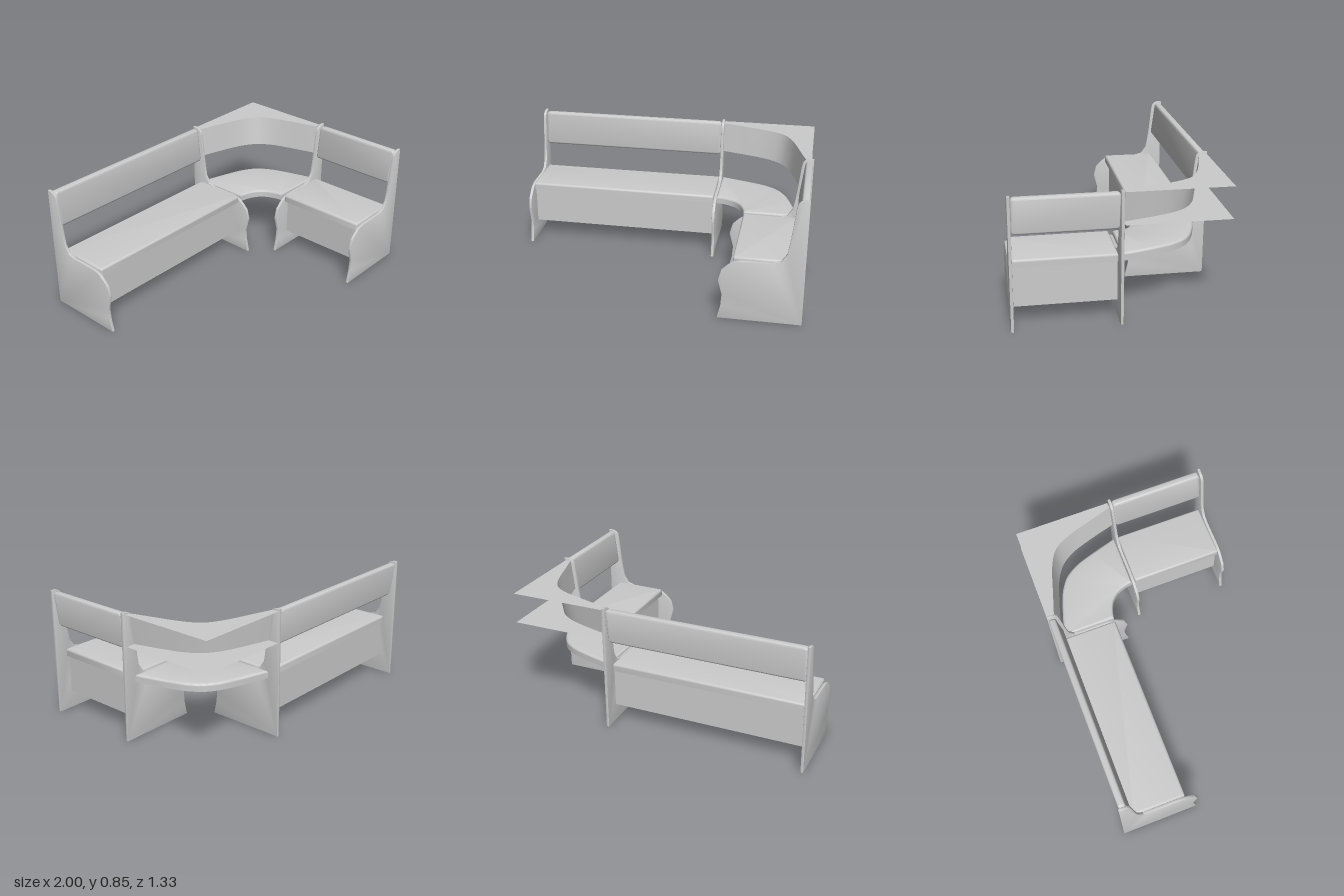
import * as THREE from 'three';
import { toCreasedNormals } from 'three/addons/utils/BufferGeometryUtils.js';

const BACK = -0.665; // z of the long bench's rear edge
const grey = new THREE.MeshStandardMaterial({ color: 0xcccccc });
const thin = new THREE.MeshStandardMaterial({ color: 0xcccccc, side: THREE.DoubleSide });

const V = ([x, y]) => new THREE.Vector2(x, y);

function add(parent, name, geometry, material = grey) {
  const mesh = new THREE.Mesh(geometry, material);
  mesh.name = name;
  parent.add(mesh);
  return mesh;
}

// Extrusion that keeps its outline and total thickness, with rounded rims
function slab(shape, thickness, round, segments = 3) {
  const g = new THREE.ExtrudeGeometry(shape, {
    depth: thickness - 2 * round, bevelEnabled: round > 0, bevelThickness: round,
    bevelSize: round, bevelOffset: -round, bevelSegments: segments, curveSegments: 6,
  });
  g.translate(0, 0, round);
  return toCreasedNormals(g, 0.6);
}

function roundedRect(x0, y0, x1, y1, r) {
  const s = new THREE.Shape();
  s.absarc(x1 - r, y0 + r, r, -Math.PI / 2, 0);
  s.absarc(x1 - r, y1 - r, r, 0, Math.PI / 2);
  s.absarc(x0 + r, y1 - r, r, Math.PI / 2, Math.PI);
  s.absarc(x0 + r, y0 + r, r, Math.PI, Math.PI * 1.5);
  s.closePath();
  return s;
}

// Seat board from a plan outline: square lower edge, rounded upper edge
function seat(parent, name, shape) {
  const group = new THREE.Group();
  group.name = name;
  const top = slab(shape, 0.035, 0.016).rotateX(Math.PI / 2).translate(0, 0.43, 0);
  const base = slab(shape, 0.032, 0).rotateX(Math.PI / 2).translate(0, 0.412, 0);
  add(group, 'seatTop', top);
  add(group, 'seatBase', base);
  parent.add(group);
}

// Scrolled side panel, as depth from the rear edge and height
const panelShape = new THREE.Shape([
  [0, 0], [0.53, 0], [0.51, 0.09], [0.504, 0.17], [0.53, 0.27], [0.511, 0.34],
  [0.47, 0.38], [0.44, 0.402], [0.39, 0.416], [0.2, 0.417], [0.15, 0.432],
  [0.115, 0.485], [0.105, 0.55], [0.093, 0.64], [0.077, 0.79], [0.07, 0.82],
  [0.055, 0.836], [0.03, 0.845], [0, 0.845],
].map(V));

// Straight bench: length along x, rear edge on z = 0, panels centred on x0 and x1
function bench(name, x0, x1) {
  const group = new THREE.Group();
  group.name = name;
  for (const x of [x0, x1]) {
    const g = slab(panelShape, 0.019, 0.003, 2).rotateY(-Math.PI / 2);
    add(group, 'sidePanel', g).position.x = x + 0.0095;
  }
  const a = x0 + 0.011, b = x1 - 0.011;
  seat(group, 'seat', roundedRect(a, 0.075, b, 0.443, 0.012));

  // Leaning backrest: the lower edge stands further forward
  const back = slab(roundedRect(a, 0.6, b, 0.835, 0.022), 0.048, 0.014);
  const p = back.attributes.position;
  for (let i = 0; i < p.count; i++) {
    p.setZ(i, p.getZ(i) + 0.003 + (0.835 - p.getY(i)) * 0.13);
  }
  add(group, 'backrest', back);

  // Front and rear boards beneath the seat
  for (const [n, z] of [['frontApron', 0.4], ['rearApron', 0.105]]) {
    add(group, n, new THREE.BoxGeometry(b - a - 0.004, 0.262, 0.014))
      .position.set((a + b) / 2, 0.251, z);
  }
  return group;
}

// Curve symmetric about the corner diagonal; points are distances from the two walls
function cornerCurve(half, middle) {
  const mirrored = half.map(([a, b]) => [b, a]).reverse();
  const pts = [...half, [middle, middle], ...mirrored];
  return new THREE.SplineCurve(pts.map(([a, b]) => new THREE.Vector2(1 - a, b)));
}

function corner() {
  const group = new THREE.Group();
  group.name = 'cornerUnit';
  const upper = cornerCurve([[0.653, 0.052], [0.5, 0.098], [0.36, 0.14], [0.27, 0.179]], 0.217);
  const lower = cornerCurve([[0.653, 0.077], [0.5, 0.12], [0.36, 0.166], [0.285, 0.206]], 0.241);
  const front = cornerCurve([[0.653, 0.443], [0.595, 0.455], [0.54, 0.478]], 0.505);

  // Curved seat between the two benches
  const outline = [...front.getPoints(16), ...lower.getPoints(20).reverse()];
  seat(group, 'cornerSeat', new THREE.Shape(outline));

  // Curved leaning backrest
  const N = 28;
  const wall = new THREE.PlaneGeometry(1, 1, N, 4);
  const p = wall.attributes.position;
  for (let i = 0; i < p.count; i++) {
    const u = p.getX(i) + 0.5, t = p.getY(i) + 0.5;
    const q = lower.getPoint(u).lerp(upper.getPoint(u), t);
    p.setXYZ(i, q.x, 0.63 + 0.203 * t, q.y);
  }
  wall.computeVertexNormals();
  add(group, 'cornerBackrest', wall, thin);

  // Thin shelves filling the corner behind the backrest
  for (const [n, curve, y] of [['upperShelf', upper, 0.833], ['lowerShelf', lower, 0.63]]) {
    const pts = [...curve.getPoints(N), V([0.985, 0.65]), V([0.985, 0.005]), V([0.347, 0.005])];
    const g = new THREE.ShapeGeometry(new THREE.Shape(pts)).rotateX(Math.PI / 2);
    add(group, n, g, thin).position.y = y;
  }
  return group;
}

export function createModel() {
  const model = new THREE.Group();
  model.name = 'cornerBench';

  const long = bench('longBench', -0.99, 0.336);
  long.position.z = BACK;

  // Short bench turned so that its rear edge lies on x = 1
  const short = bench('shortBench', 0.003, 0.6555);
  short.rotation.y = -Math.PI / 2;
  short.position.x = 1;

  const link = corner();
  link.position.z = BACK;

  model.add(long, short, link);
  return model;
}
